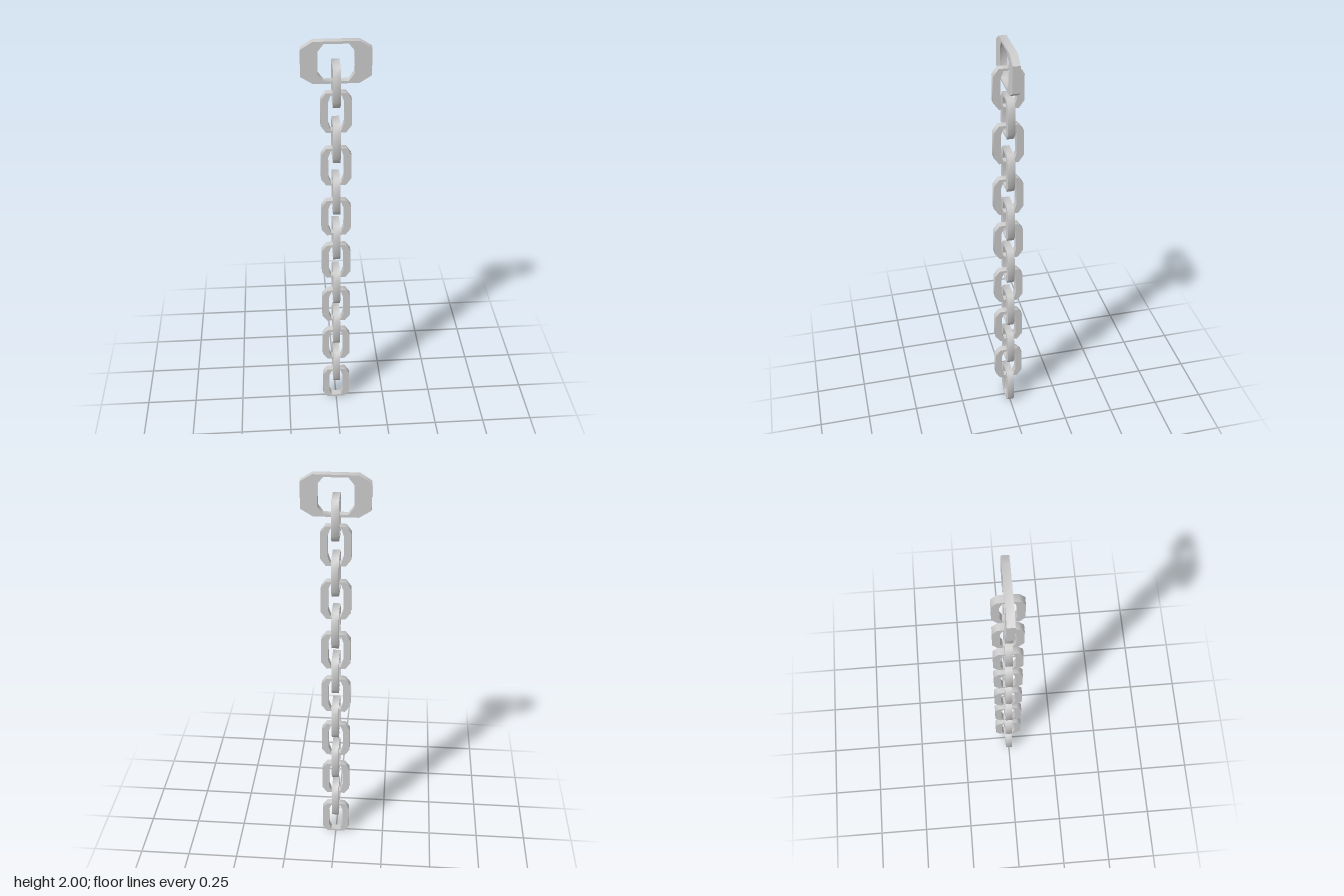
import * as THREE from 'three';
import { toCreasedNormals } from 'three/addons/utils/BufferGeometryUtils.js';

const HALF_HEIGHT = 0.0945;
const THICKNESS = 0.034;

// Corners of an octagon: w, h are half sizes, cx, cy the ends of its flat sides
function octagon(w, h, cx, cy) {
  return [[w, -cy], [w, cy], [cx, h], [-cx, h], [-w, cy], [-w, -cy], [-cx, -h], [cx, -h]]
    .map(([x, y]) => new THREE.Vector2(x, y));
}

// Flat octagonal ring with wide sides and thin ends
function ringGeometry(halfWidth) {
  const shape = new THREE.Shape(octagon(halfWidth, HALF_HEIGHT, halfWidth * 0.65, 0.061));
  shape.holes.push(new THREE.Path(
    octagon(halfWidth * 0.52, HALF_HEIGHT - 0.011, halfWidth * 0.35, 0.05).reverse()));
  const geometry = new THREE.ExtrudeGeometry(shape, { depth: THICKNESS, bevelEnabled: false });
  geometry.translate(0, 0, -THICKNESS / 2);
  return toCreasedNormals(geometry, 1.0);
}

export function createModel() {
  const group = new THREE.Group();
  group.name = 'chain';
  const material = new THREE.MeshStandardMaterial({ color: 0xcccccc });

  // Chain links, each turned a quarter from the one below
  const link = ringGeometry(0.069);
  const heights = [0.095, 0.235, 0.362, 0.49, 0.613, 0.745, 0.882,
    1.01, 1.131, 1.263, 1.403, 1.535, 1.672, 1.805];
  heights.forEach((y, i) => {
    const mesh = new THREE.Mesh(link, material);
    mesh.name = `link${i + 1}`;
    mesh.position.y = y;
    if (i % 2) mesh.rotation.y = Math.PI / 2;
    group.add(mesh);
  });

  // Wide hanger ring at the top
  const hanger = new THREE.Mesh(ringGeometry(0.153), material);
  hanger.name = 'hangerRing';
  hanger.position.y = 2 - HALF_HEIGHT;
  group.add(hanger);

  return group;
}
